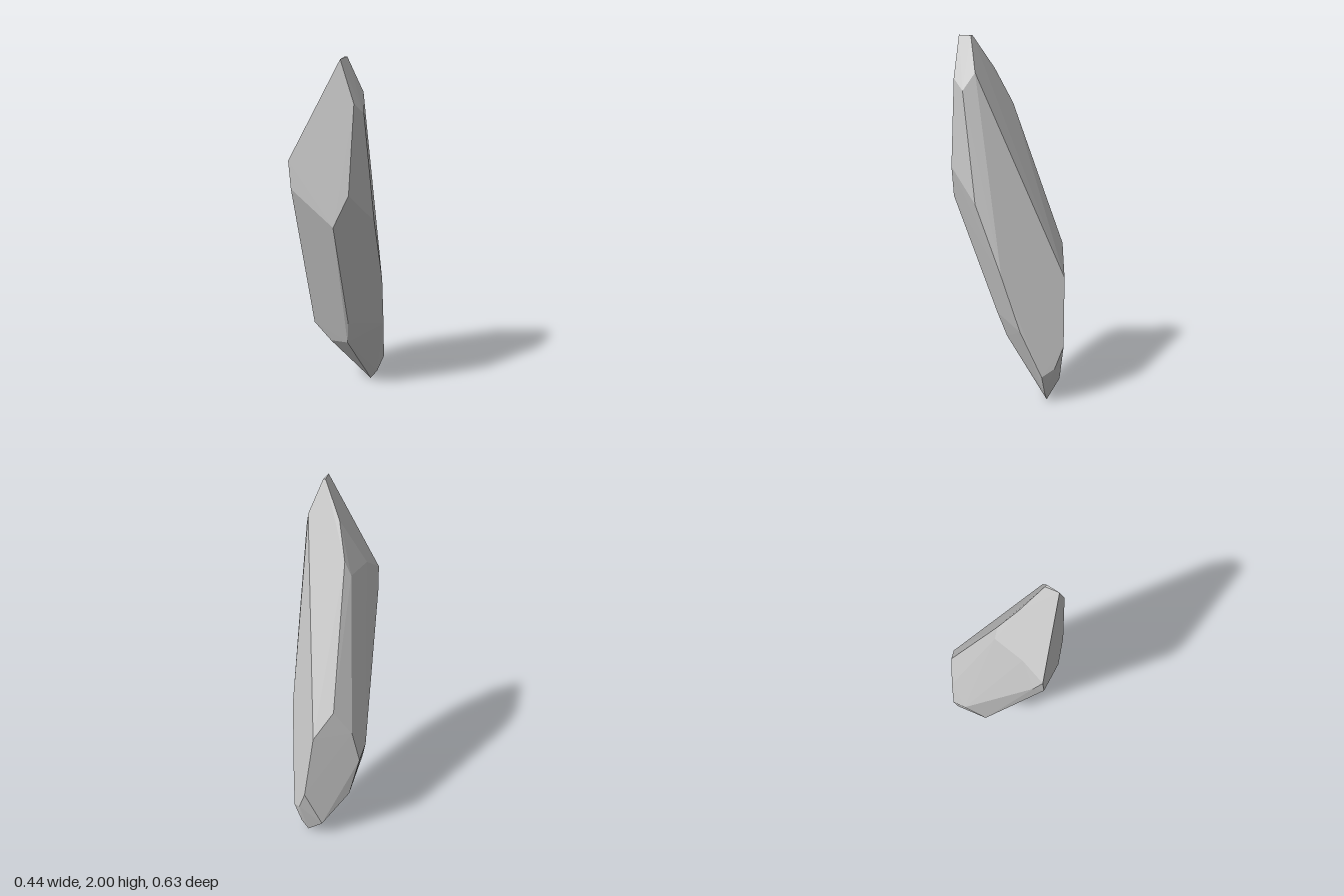
import * as THREE from 'three';
import { ConvexGeometry } from 'three/addons/geometries/ConvexGeometry.js';

// Corners of the leaning crystal, tier by tier
const tip = [[0.065, 2, 0.27], [0.067, 2, 0.195], [0.08, 2, 0.2]];

const upperShoulder = [
  [0.14, 1.78, 0.278], [0.153, 1.815, 0.157], [0.175, 1.72, 0.22],
  [-0.025, 1.82, 0.1], [-0.07, 1.63, 0.01], [-0.105, 1.55, 0.01],
  [-0.16, 1.55, 0.18], [-0.205, 1.46, 0.31], [-0.212, 1.345, 0.265],
];

const frontEdge = [
  [-0.19, 1.31, 0.316], [0.12, 1.3, 0.303], [0.04, 1.12, 0.316],
  [0.212, 1.12, 0.145], [0.218, 0.73, 0],
];

const backEdge = [
  [-0.065, 0.865, -0.272], [-0.16, 0.718, -0.235], [0.04, 0.7, -0.308],
  [-0.22, 0.585, -0.135], [-0.2, 0.527, -0.215],
];

const lowerShoulder = [
  [0.045, 0.47, 0.07], [0.2, 0.42, -0.1], [-0.185, 0.41, -0.022],
  [0.025, 0.33, 0.02], [-0.09, 0.305, -0.03], [0.09, 0.32, -0.318],
  [-0.145, 0.29, -0.218],
];

const root = [
  [0.13, 0.2, -0.277], [0.172, 0.16, -0.215], [0, 0.095, -0.277],
  [0.13, 0.055, -0.222], [0.09, 0, -0.225],
];

export function createModel() {
  const group = new THREE.Group();
  group.name = 'crystalShard';

  // Faceted convex body spanning all tiers
  const tiers = [tip, upperShoulder, frontEdge, backEdge, lowerShoulder, root];
  const corners = tiers.flat().map((p) => new THREE.Vector3(...p));
  const material = new THREE.MeshStandardMaterial({ color: 0xcccccc, flatShading: true });
  const body = new THREE.Mesh(new ConvexGeometry(corners), material);
  body.name = 'crystalBody';
  group.add(body);
  return group;
}
